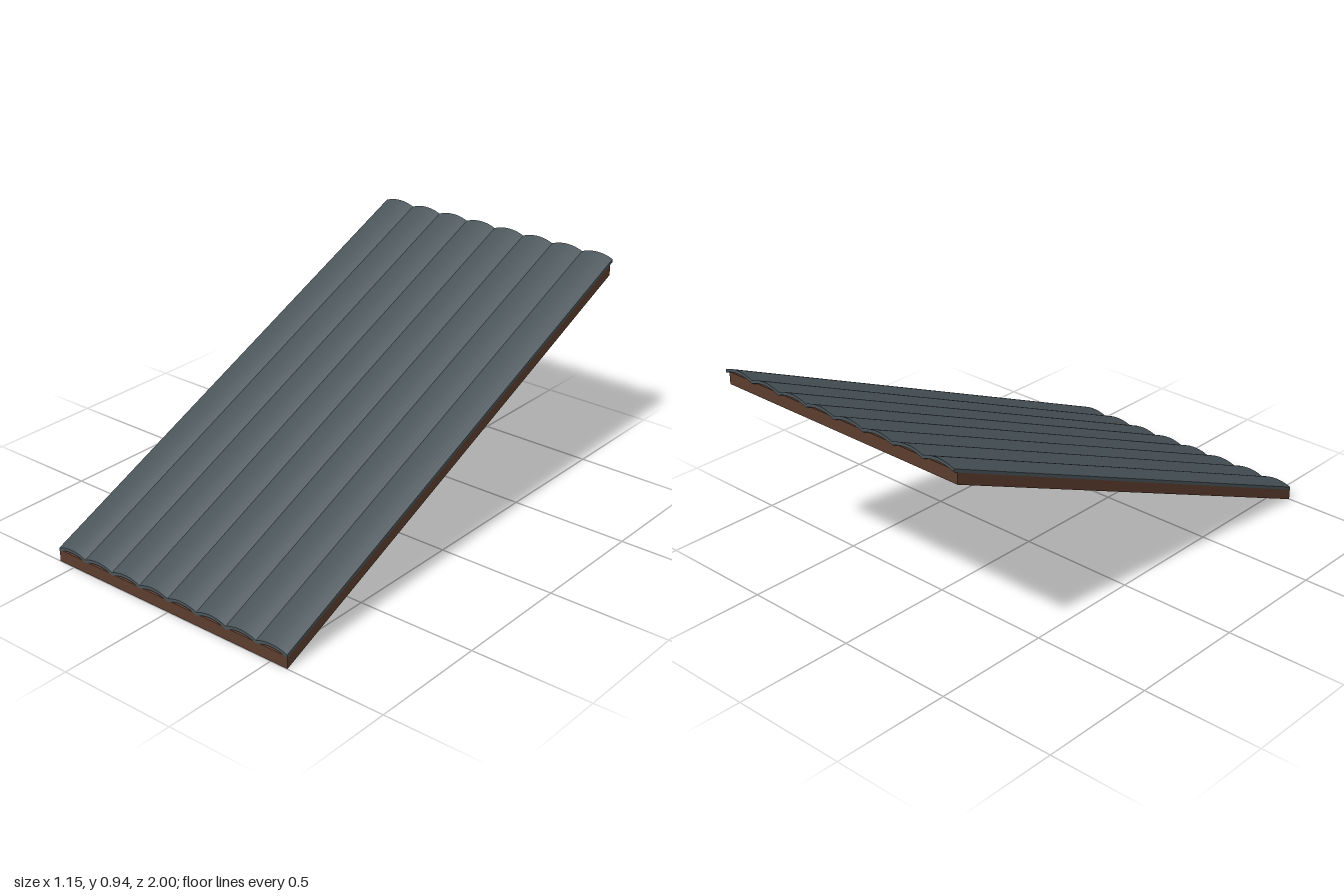
import * as THREE from 'three';
import { toCreasedNormals } from 'three/addons/utils/BufferGeometryUtils.js';

const WIDTH = 1.155, COUNT = 8, PITCH = WIDTH / COUNT;
const SLOPE = 0.435;      // rise per unit of depth
const VALLEY = 0.058, ARCH = 0.015, THICKNESS = 0.013;
const SEGMENTS = 12;

// Shear the flat slab into a pitch while keeping its ends vertical: y += (1 - z) * SLOPE
function pitch(geometry) {
  const shear = new THREE.Matrix4().set(
    1, 0, 0, 0,
    0, 1, -SLOPE, SLOPE,
    0, 0, 1, 0,
    0, 0, 0, 1);
  return geometry.applyMatrix4(shear);
}

// Row of shallow circular arches, left to right, starting at height y
function archRow(y) {
  const half = PITCH / 2;
  const radius = (half * half + ARCH * ARCH) / (2 * ARCH);
  const points = [];
  for (let i = 0; i <= COUNT * SEGMENTS; i++) {
    const x = -WIDTH / 2 + (i / SEGMENTS) * PITCH;
    const u = ((i % SEGMENTS) / SEGMENTS - 0.5) * PITCH;
    points.push(new THREE.Vector2(x, y + ARCH - radius + Math.sqrt(radius * radius - u * u)));
  }
  return points;
}

export function createModel() {
  const slate = new THREE.MeshStandardMaterial({ color: 0x4a555a });
  slate.name = 'slate grey';
  const wood = new THREE.MeshStandardMaterial({ color: 0x5c3d2e });
  wood.name = 'dark brown wood';

  const roof = new THREE.Group();
  roof.name = 'slopedRoofPanel';

  // Corrugated covering: a thin scalloped sheet running the full depth
  const section = new THREE.Shape([
    ...archRow(VALLEY - THICKNESS),
    ...archRow(VALLEY).reverse(),
  ]);
  const sheet = new THREE.ExtrudeGeometry(section, { depth: 2, bevelEnabled: false });
  sheet.translate(0, 0, -1);
  const covering = new THREE.Mesh(pitch(toCreasedNormals(sheet, 0.3)), slate);
  covering.name = 'corrugatedCovering';
  roof.add(covering);

  // Wooden deck, stopping just short of the upper edge
  const deckFront = 0.999, deckBack = -0.985;
  const slab = new THREE.BoxGeometry(WIDTH - 0.001, 0.05, deckFront - deckBack);
  slab.translate(0, 0.025, (deckFront + deckBack) / 2);
  const deck = new THREE.Mesh(pitch(slab), wood);
  deck.name = 'woodenDeck';
  roof.add(deck);

  return roof;
}
